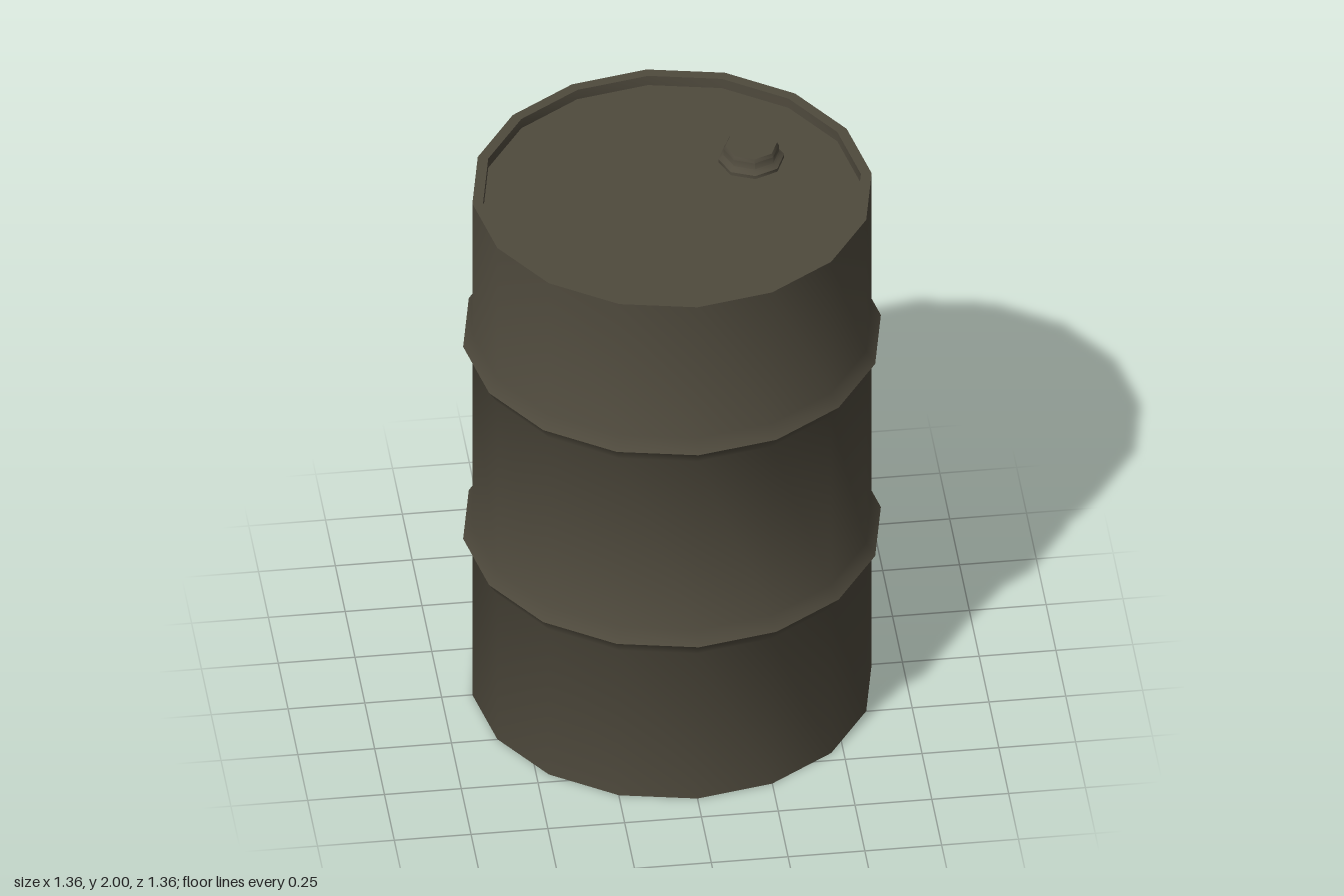
import * as THREE from 'three';
import { toCreasedNormals } from 'three/addons/utils/BufferGeometryUtils.js';

const SIDES = 16;
const R = 0.65; // body radius
const TOP = 1.975; // rim height
const LID = 1.938; // recessed lid height

// Revolve a [radius, height] profile, keeping sharp bends crisp
function turned(name, profile, sides, material) {
  const points = profile.map(([r, y]) => new THREE.Vector2(r, y));
  const geometry = toCreasedNormals(new THREE.LatheGeometry(points, sides), 0.8);
  const mesh = new THREE.Mesh(geometry, material);
  mesh.name = name;
  return mesh;
}

// Rolled hoop: a ridge that swells out of the body wall
const hoop = (y) => [[R, y - 0.047], [0.68, y], [R, y + 0.047]];

export function createModel() {
  const paint = new THREE.MeshStandardMaterial({ color: 0x4f4a3d });
  paint.name = 'drab olive paint';

  const barrel = new THREE.Group();
  barrel.name = 'barrel';

  // Body wall with two hoops, flat base and raised rim
  barrel.add(turned('body', [
    [0, 0], [R, 0],
    ...hoop(0.63),
    ...hoop(1.402),
    [R, TOP], [0.615, TOP], [0.615, LID],
  ], SIDES, paint));

  // Recessed lid
  barrel.add(turned('lid', [[0.615, LID], [0, LID]], SIDES, paint));

  // Bung: flared collar with a tapered plug
  const bung = turned('bung', [
    [0.107, 0], [0.107, 0.012], [0.094, 0.022],
    [0.09, 0.026], [0.09, 0.05], [0.084, 2 - LID], [0, 2 - LID],
  ], 8, paint);
  bung.position.set(0.28, LID, -0.172);
  barrel.add(bung);

  return barrel;
}
